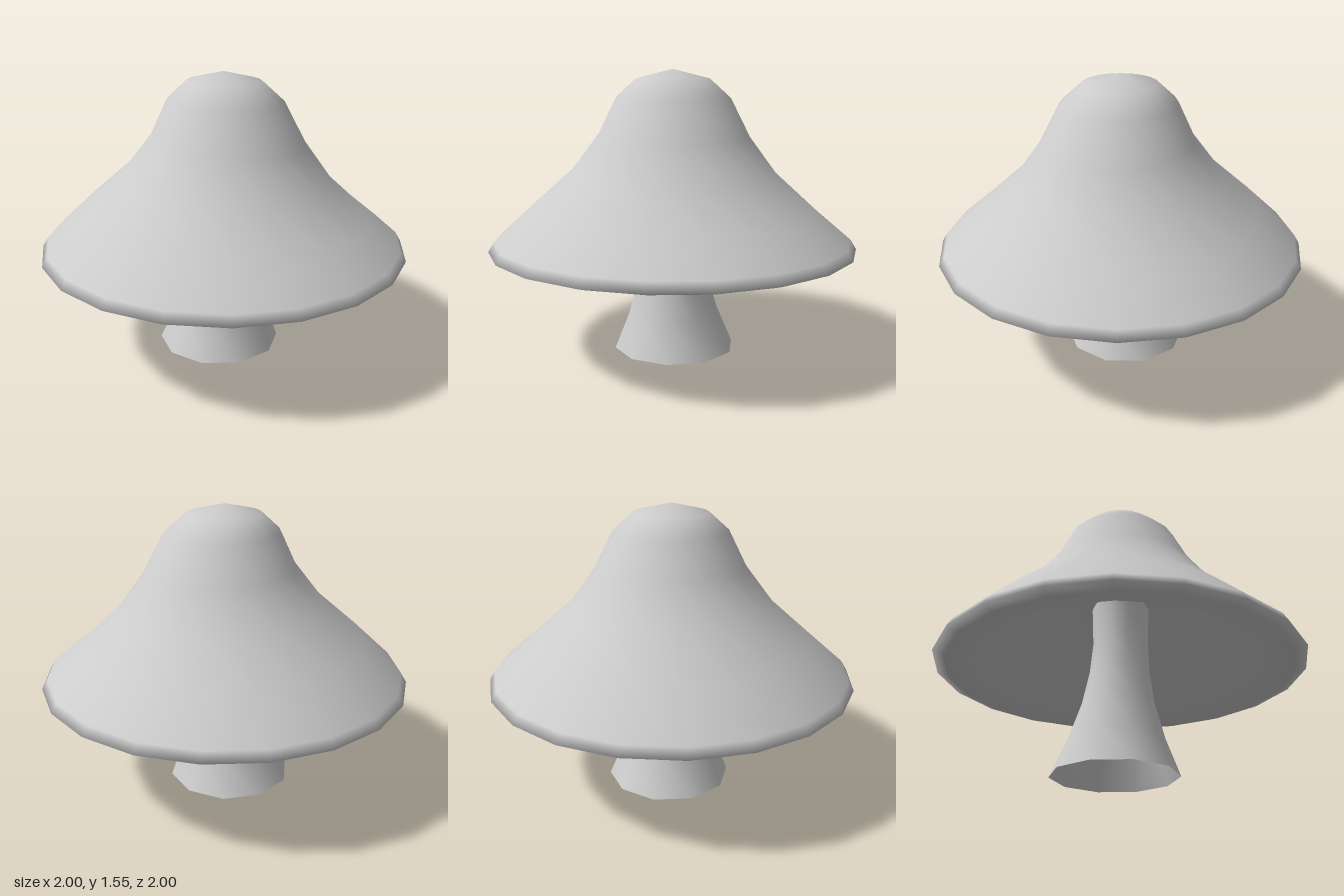
import * as THREE from 'three';
import { mergeVertices } from 'three/addons/utils/BufferGeometryUtils.js';

const material = new THREE.MeshStandardMaterial({ color: 0xcccccc, side: THREE.DoubleSide });

// Smooth lathe whose vertices are then shifted by a rule
function bentLathe(name, profile, sides, bend) {
  const points = profile.map(([r, y]) => new THREE.Vector2(r, y));
  let geometry = new THREE.LatheGeometry(points, sides);
  geometry.deleteAttribute('uv');
  geometry.deleteAttribute('normal');
  geometry = mergeVertices(geometry, 1e-4);
  const pos = geometry.attributes.position;
  const v = new THREE.Vector3();
  for (let i = 0; i < pos.count; i++) {
    bend(v.fromBufferAttribute(pos, i));
    pos.setXYZ(i, v.x, v.y, v.z);
  }
  geometry.computeVertexNormals();
  const mesh = new THREE.Mesh(geometry, material);
  mesh.name = name;
  return mesh;
}

export function createModel() {
  const group = new THREE.Group();
  group.name = 'mushroom';

  // Cap: hollow underside from the centre out, round the rim, up to the crown
  const capProfile = [
    [0, 1.0], [0.16, 0.96], [0.4, 0.85], [0.62, 0.71], [0.82, 0.585],
    [0.94, 0.57], [1, 0.59], [0.97, 0.64], [0.775, 0.81], [0.56, 1.0],
    [0.41, 1.2], [0.31, 1.4], [0.2, 1.5], [0, 1.55],
  ];
  group.add(bentLathe('cap', capProfile, 20, (v) => {
    // The middle of the cap leans slightly to one side
    const t = THREE.MathUtils.clamp((v.y - 0.64) / 0.91, 0, 1);
    const lean = Math.sin(Math.PI * t);
    v.y -= 0.065 * v.x * lean;
    v.x += 0.03 * lean;
  }));

  // Stem: open tube flaring towards the foot
  const stemProfile = [
    [0.338, 0], [0.255, 0.2], [0.193, 0.4], [0.162, 0.58], [0.15, 0.75], [0.158, 0.98],
  ];
  group.add(bentLathe('stem', stemProfile, 10, (v) => {
    // The foot sits a little off centre
    const k = Math.max(0, 1 - v.y / 0.7);
    v.x -= 0.03 * k;
    v.z -= 0.015 * k;
  }));

  return group;
}
